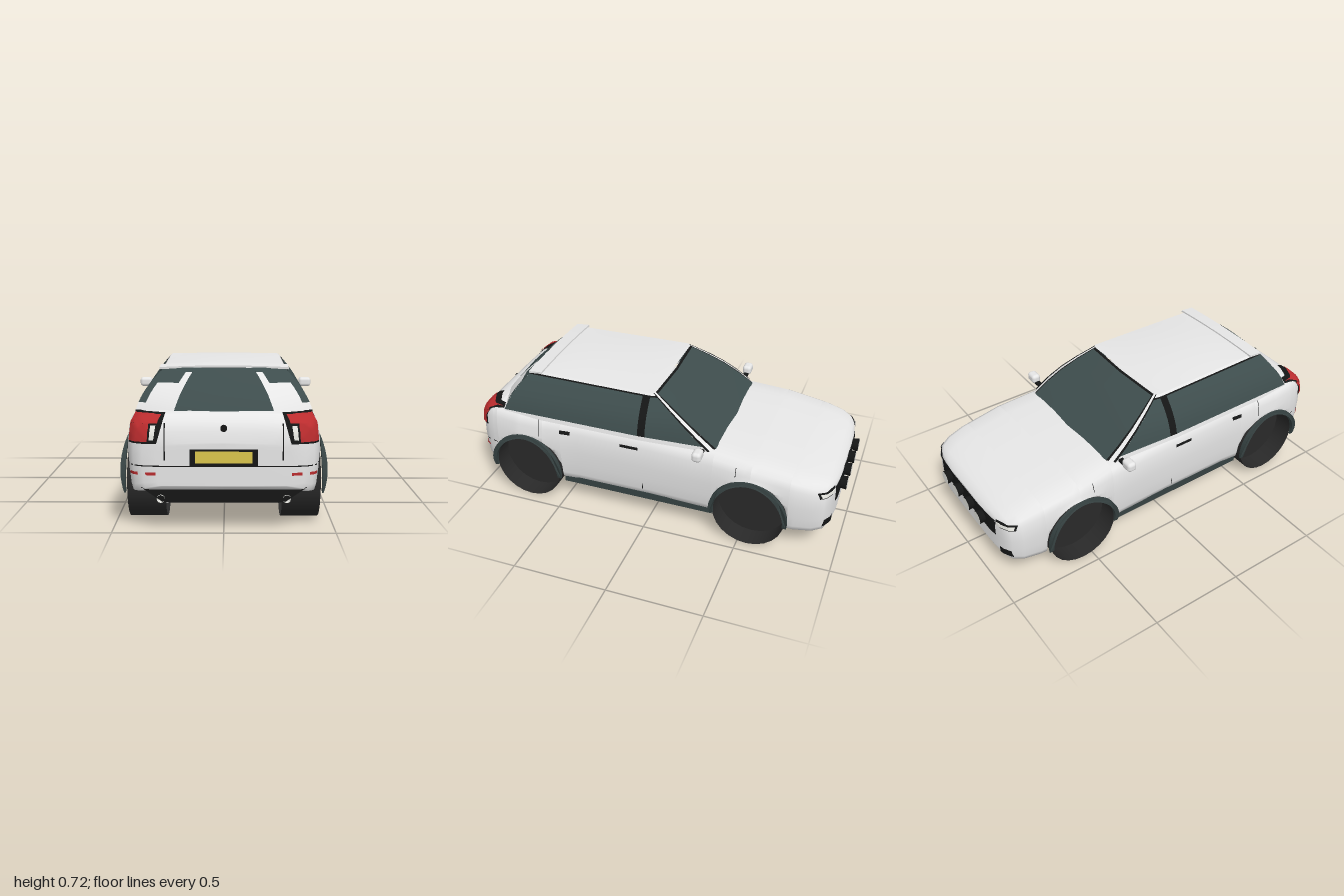
import * as THREE from 'three';
import { RoundedBoxGeometry } from 'three/addons/geometries/RoundedBoxGeometry.js';

const mat = (name, color) =>
  new THREE.MeshStandardMaterial({ name, color, side: THREE.DoubleSide });
const V = (x, y, z) => new THREE.Vector3(x, y, z);
const lerp = THREE.MathUtils.lerp;

// Smooth skin over a grid of points
function skin(rows) {
  const n = rows[0].length, idx = [];
  for (let i = 0; i < rows.length - 1; i++)
    for (let j = 0; j < n - 1; j++) {
      const a = i * n + j, b = a + n;
      idx.push(a, b, a + 1, b, b + 1, a + 1);
    }
  const g = new THREE.BufferGeometry().setFromPoints(rows.flat());
  g.setIndex(idx);
  g.computeVertexNormals();
  return g;
}

// Body stations: z, half width, top, bottom
const STATIONS = [
  [-0.962, 0.25, 0.368, 0.185], [-0.945, 0.34, 0.388, 0.16], [-0.92, 0.385, 0.403, 0.145],
  [-0.87, 0.412, 0.422, 0.135], [-0.78, 0.428, 0.443, 0.13], [-0.55, 0.44, 0.478, 0.14],
  [-0.35, 0.428, 0.497, 0.145], [0, 0.418, 0.508, 0.145], [0.4, 0.42, 0.515, 0.145],
  [0.6, 0.437, 0.52, 0.145], [0.75, 0.442, 0.528, 0.15], [0.87, 0.435, 0.538, 0.165],
  [0.93, 0.422, 0.526, 0.175], [0.965, 0.402, 0.498, 0.185], [0.984, 0.362, 0.455, 0.2],
  [0.993, 0.3, 0.405, 0.212],
];
// Half section: share of width, share of height
const SECTION = [[0, 0], [0.9, 0], [0.955, 0.015], [0.975, 0.1], [0.99, 0.28], [1, 0.5],
  [0.995, 0.66], [0.98, 0.8], [0.95, 0.91], [0.88, 0.965], [0.68, 0.988], [0.35, 1], [0, 1]];
const WHEELS = [-0.55, 0.7];
const WHEEL_R = 0.19, ARCH_R = 0.2;

function station(z) {
  let i = 0;
  while (i < STATIONS.length - 2 && z > STATIONS[i + 1][0]) i++;
  const a = STATIONS[i], b = STATIONS[i + 1], f = (z - a[0]) / (b[0] - a[0]);
  return a.map((v, k) => lerp(v, b[k], f));
}

function bodyGeometry() {
  const zs = STATIONS.map((s) => s[0]).concat([-0.25, -0.12, 0.2]);
  for (const c of WHEELS) {
    for (let k = 0; k <= 18; k++) zs.push(c + ARCH_R * 0.9999 * Math.cos((k * Math.PI) / 18));
    zs.push(c - ARCH_R * 1.001, c + ARCH_R * 1.001);
  }
  zs.sort((a, b) => a - b);
  const rows = zs.map((z) => {
    const [, w, t, b] = station(z);
    let arch = 0;
    for (const c of WHEELS) {
      const d = ARCH_R ** 2 - (z - c) ** 2;
      if (d > 0) arch = WHEEL_R + Math.sqrt(d);
    }
    const half = SECTION.map(([fx, fy]) => V(w * fx, Math.max(lerp(b, t, fy), arch), z));
    return half.concat(half.slice(0, -1).reverse().map((p) => V(-p.x, p.y, z)));
  });
  // closed nose and tail
  const cap = (r) => r.map((p) => V(0, p.y, p.z));
  return skin([cap(rows[0]), ...rows, cap(rows[rows.length - 1])]);
}

// Cabin columns from windscreen centre to tail centre: base x, base z, top x, top z
const CABIN = [[0, -0.365, 0, -0.005], [0.35, -0.345, 0.265, 0.005], [0.392, -0.315, 0.284, 0.015],
  [0.41, 0.02, 0.29, 0.025], [0.412, 0.06, 0.29, 0.065], [0.412, 0.835, 0.28, 0.705],
  [0.235, 0.915, 0.135, 0.725], [0, 0.93, 0, 0.735]];
const Y0 = 0.49, Y1 = 0.708;
// A fractional column lies between two listed ones
function cabinPoint(col, y, side) {
  const f = (y - Y0) / (Y1 - Y0), bulge = Math.sin(Math.PI * f);
  const c = Math.min(Math.floor(col), CABIN.length - 2);
  const [bx, bz, tx, tz] = CABIN[c].map((v, k) => lerp(v, CABIN[c + 1][k], col - c));
  const dz = col <= 2 ? -0.015 : col >= 5 ? 0.018 : 0;
  return V(side * (lerp(bx, tx, f) + 0.06 * bx * bulge), y, lerp(bz, tz, f) + dz * bulge);
}

function roofGeometry() {
  const edge = CABIN.slice(1, 5).map((c) => [c[2], c[3]]);
  for (let k = 1; k <= 8; k++) edge.push([lerp(0.29, 0.28, k / 8), lerp(0.065, 0.705, k / 8)]);
  edge.push([0.135, 0.725]);
  return skin(edge.map(([X, z]) => {
    const rise = 0.014 * Math.sqrt(Math.max(0, Math.sin((Math.PI * z) / 0.73)));
    return Array.from({ length: 11 }, (_, k) => {
      const u = k / 5 - 1;
      return V(u * X, Y1 + rise * (1 - u * u), z);
    });
  }));
}

export function createModel() {
  const car = new THREE.Group();
  car.name = 'hatchback';
  const paint = mat('whitePaint', 0xe6e6e6), glass = mat('tintedGlass', 0x3e4d4d);
  const black = mat('blackTrim', 0x151616), tyre = mat('tyreRubber', 0x292929);
  const red = mat('redLens', 0xbb2c2e), yellow = mat('yellowPlate', 0xdbc64c);
  const trim = mat('archTrim', 0x364242), lens = mat('lampLens', 0xe6e6e0);
  const add = (name, geo, m, x = 0, y = 0, z = 0) => {
    const mesh = new THREE.Mesh(geo, m);
    mesh.name = name;
    mesh.position.set(x, y, z);
    car.add(mesh);
    return mesh;
  };
  const box = (name, m, w, h, d, x, y, z) => add(name, new THREE.BoxGeometry(w, h, d), m, x, y, z);

  add('bodyShell', bodyGeometry(), paint);

  // Cabin: glass, pillars and roof
  const panel = (name, m, cols, lo, hi) => add(name, skin(Array.from({ length: 5 }, (_, i) =>
    cols.map(([c, s]) => cabinPoint(c, lerp(lo, hi, i / 4), s)))), m);
  panel('windscreen', glass, [[1, -1], [0, 1], [1, 1]], Y0, 0.702);
  panel('windscreenHeader', black, [[1, -1], [0, 1], [1, 1]], 0.702, Y1);
  panel('rearWindow', glass, [[6, -1], [7, 1], [6, 1]], Y0, Y1);
  for (const s of [-1, 1]) {
    panel('pillarInnerSeal', black, [[1, s], [1.25, s]], Y0, Y1);
    panel('windscreenPillar', paint, [[1.25, s], [1.75, s]], Y0, Y1);
    panel('pillarOuterSeal', black, [[1.75, s], [2, s]], Y0, Y1);
    panel('windowSill', paint, [[2, s], [3, s], [4, s], [5, s]], Y0, 0.512);
    panel('frontSideWindow', glass, [[2, s], [3, s]], 0.512, 0.692);
    panel('doorPillar', black, [[3, s], [4, s]], 0.512, 0.692);
    panel('rearSideWindow', glass, [[4, s], [5, s]], 0.512, 0.692);
    panel('windowTopSeal', black, [[2, s], [3, s], [4, s], [5, s]], 0.692, 0.698);
    panel('roofRail', paint, [[2, s], [3, s], [4, s], [5, s]], 0.698, Y1);
    panel('rearQuarter', paint, [[5, s], [6, s]], Y0, 0.56);
    panel('rearQuarterWrap', glass, [[5, s], [5.2, s]], 0.56, 0.645);
    panel('rearQuarterUpper', paint, [[5.2, s], [6, s]], 0.56, 0.645);
    panel('rearQuarterGlass', glass, [[5, s], [5.8, s]], 0.645, Y1);
    panel('rearWindowPillar', paint, [[5.8, s], [6, s]], 0.645, 0.69);
    panel('rearWindowPillarTop', glass, [[5.8, s], [6, s]], 0.69, Y1);
  }
  const shell = [...car.children];
  add('roof', roofGeometry(), paint);
  const spoiler = new THREE.BoxGeometry(0.6, 0.01, 0.075, 12, 1, 1);
  const sp = spoiler.attributes.position;
  for (let i = 0; i < sp.count; i++)
    sp.setY(i, sp.getY(i) + 0.008 * (1 - (sp.getX(i) / 0.3) ** 2));
  spoiler.computeVertexNormals();
  add('roofSpoiler', spoiler, paint, 0, 0.708, 0.68).rotation.x = 0.08;

  // Thin plates laid on the shell; corners are (x, y) seen along z or (z, y) seen along x
  const ray = new THREE.Raycaster();
  function plate(name, m, corners, axis, sign, lift = 0.004, n = 8) {
    const [a, b, c, d] = corners, rows = [];
    for (let i = 0; i <= n; i++) {
      rows.push([]);
      for (let j = 0; j <= n; j++) {
        const q = [0, 1].map((k) =>
          lerp(lerp(a[k], b[k], j / n), lerp(d[k], c[k], j / n), i / n));
        let hit;
        for (let t = 0; t < 20 && !hit; t++, q[0] *= 0.99) {
          const o = axis === 'z' ? V(q[0], q[1], 2 * sign) : V(2 * sign, q[1], q[0]);
          ray.set(o, axis === 'z' ? V(0, 0, -sign) : V(-sign, 0, 0));
          hit = ray.intersectObjects(shell)[0];
        }
        if (!hit) return;
        const nor = hit.face.normal.clone();
        if (nor.dot(ray.ray.direction) > 0) nor.negate();
        rows[i].push(hit.point.clone().addScaledVector(nor, lift));
      }
    }
    add(name, skin(rows), m);
  }
  const rect = (x0, x1, y0, y1) => [[x0, y0], [x1, y0], [x1, y1], [x0, y1]];

  // Tail
  plate('plateFrame', black, rect(-0.15, 0.15, 0.305, 0.38), 'z', 1, 0.003);
  plate('numberPlate', yellow, rect(-0.125, 0.125, 0.318, 0.37), 'z', 1, 0.006);
  add('bootLock', new THREE.CylinderGeometry(0.015, 0.015, 0.02, 12).rotateX(Math.PI / 2),
    black, 0, 0.47, 0.976);
  plate('bumperSeam', black, rect(-0.43, 0.43, 0.301, 0.306), 'z', 1, 0.003, 40);
  for (const s of [-1, 1]) {
    const side = (pts) => pts.map(([x, y]) => [x * s, y]);
    plate('tailLampSurround', black,
      side([[0.296, 0.402], [0.42, 0.402], [0.4, 0.527], [0.26, 0.527]]), 'z', 1, 0.004, 20);
    plate('tailLampUpper', red,
      side([[0.293, 0.487], [0.407, 0.487], [0.392, 0.52], [0.276, 0.52]]), 'z', 1, 0.009, 14);
    plate('tailLampLower', red,
      side([[0.336, 0.411], [0.415, 0.411], [0.407, 0.487], [0.33, 0.487]]), 'z', 1, 0.009, 14);
    plate('reverseLamp', lens,
      side([[0.308, 0.418], [0.328, 0.418], [0.322, 0.478], [0.299, 0.478]]), 'z', 1, 0.009);
    plate('bootSeam', black, side(rect(0.258, 0.263, 0.33, 0.49)), 'z', 1, 0.004, 20);
    plate('innerReflector', red, side(rect(0.3, 0.345, 0.262, 0.275)), 'z', 1, 0.005);
    plate('outerReflector', red, side(rect(0.378, 0.412, 0.262, 0.275)), 'z', 1, 0.005);
    add('exhaustTip', new THREE.CylinderGeometry(0.018, 0.018, 0.07, 12, 1, true)
      .rotateX(Math.PI / 2), lens, s * 0.28, 0.152, 0.95);
  }
  const valance = new THREE.Shape([[-0.37, 0.205], [-0.27, 0.135], [0.27, 0.135], [0.37, 0.205]]
    .map((p) => new THREE.Vector2(...p)));
  add('rearValance', new THREE.ExtrudeGeometry(valance, { depth: 0.082, bevelEnabled: false }),
    black, 0, 0, 0.895);

  // Nose: grille, spot lamps, head and fog lamps
  plate('grille', black, rect(-0.29, 0.29, 0.275, 0.366), 'z', -1, 0.004, 20);
  for (const x of [-0.18, -0.06, 0.06, 0.18]) {
    add('spotLampShell', new THREE.CylinderGeometry(0.035, 0.03, 0.04, 16).rotateX(-Math.PI / 2),
      black, x, 0.322, -0.976);
    add('spotLampLens', new THREE.CircleGeometry(0.034, 16).rotateY(Math.PI), lens, x, 0.322, -0.9985);
  }
  for (const s of [-1, 1]) {
    const side = (pts) => pts.map(([x, y]) => [x * s, y]);
    plate('headLampSurround', black, side(rect(0.295, 0.392, 0.346, 0.378)), 'z', -1, 0.004, 12);
    plate('headLamp', lens, side(rect(0.305, 0.386, 0.352, 0.37)), 'z', -1, 0.008, 12);
    plate('fogLamp', black, side(rect(0.31, 0.378, 0.172, 0.212)), 'z', -1, 0.005, 12);
  }

  // Flanks: handles, seams, skirts, mirrors
  for (const s of [-1, 1]) {
    plate('doorHandle', black, rect(0.055, 0.155, 0.428, 0.442), 'x', s, 0.006);
    plate('rearLatch', black, rect(0.44, 0.5, 0.436, 0.455), 'x', s, 0.006);
    plate('doorSeam', black, rect(0.033, 0.037, 0.18, 0.22), 'x', s, 0.003);
    plate('rearSeam', black, rect(0.618, 0.621, 0.4, 0.49), 'x', s, 0.003);
    plate('wingSeam', black, rect(-0.474, -0.471, 0.4, 0.45), 'x', s, 0.003);
    box('sideSkirt', trim, 0.1, 0.04, 0.845, s * 0.353, 0.134, 0.075);
    add('mirror', new RoundedBoxGeometry(0.07, 0.052, 0.05, 3, 0.018), paint, s * 0.465, 0.513, -0.285);
    box('mirrorArm', black, 0.06, 0.014, 0.025, s * 0.415, 0.495, -0.285);
  }

  // Underside
  const half = [[0.34, -0.78], [0.26, -0.75], [0.26, -0.35], [0.32, -0.34],
    [0.32, 0.49], [0.26, 0.5], [0.26, 0.9]];
  const floor = new THREE.Shape([...half, ...half.map(([x, z]) => [-x, z]).reverse()]
    .map((p) => new THREE.Vector2(...p)));
  add('floorPan', new THREE.ExtrudeGeometry(floor, { depth: 0.022, bevelEnabled: false })
    .rotateX(Math.PI / 2), paint, 0, 0.135, 0);
  box('frontLip', trim, 0.72, 0.022, 0.03, 0, 0.123, -0.785);

  // Wheels, wells and arch trims: flat inside, bowed outside
  const arch = new THREE.Shape();
  arch.absarc(0, 0, 0.206, -0.15, Math.PI + 0.15, false);
  arch.absarc(0, 0, 0.183, Math.PI + 0.15, -0.15, true);
  const archGeo = new THREE.ExtrudeGeometry(arch,
    { depth: 0.01, bevelEnabled: false, curveSegments: 16 }).rotateY(Math.PI / 2);
  const ap = archGeo.attributes.position;
  for (let i = 0; i < ap.count; i++)
    if (ap.getX(i) > 0.005)
      ap.setX(i, 0.004 + 0.02 * (1 - ((ap.getY(i) - 0.085) / 0.125) ** 2));
  archGeo.computeVertexNormals();
  const turn = Math.PI / 2;
  for (const z of WHEELS)
    for (const s of [-1, 1]) {
      add('tyre', new THREE.CylinderGeometry(WHEEL_R, WHEEL_R, 0.175, 24, 1, true).rotateZ(turn),
        tyre, s * 0.3525, WHEEL_R, z);
      add('wheelDisc', new THREE.CircleGeometry(WHEEL_R, 24).rotateY(turn), tyre, s * 0.33, WHEEL_R, z);
      add('wheelWell', new THREE.CylinderGeometry(0.196, 0.196, 0.16, 18, 1, true, 0, Math.PI)
        .rotateZ(turn), black, s * 0.335, WHEEL_R, z);
      add('wellWall', new THREE.CircleGeometry(0.196, 18, 0, Math.PI).rotateY(turn),
        black, s * 0.256, WHEEL_R, z);
      add('archTrim', archGeo, trim, s * 0.445, WHEEL_R, z).scale.x = s;
    }
  return car;
}
